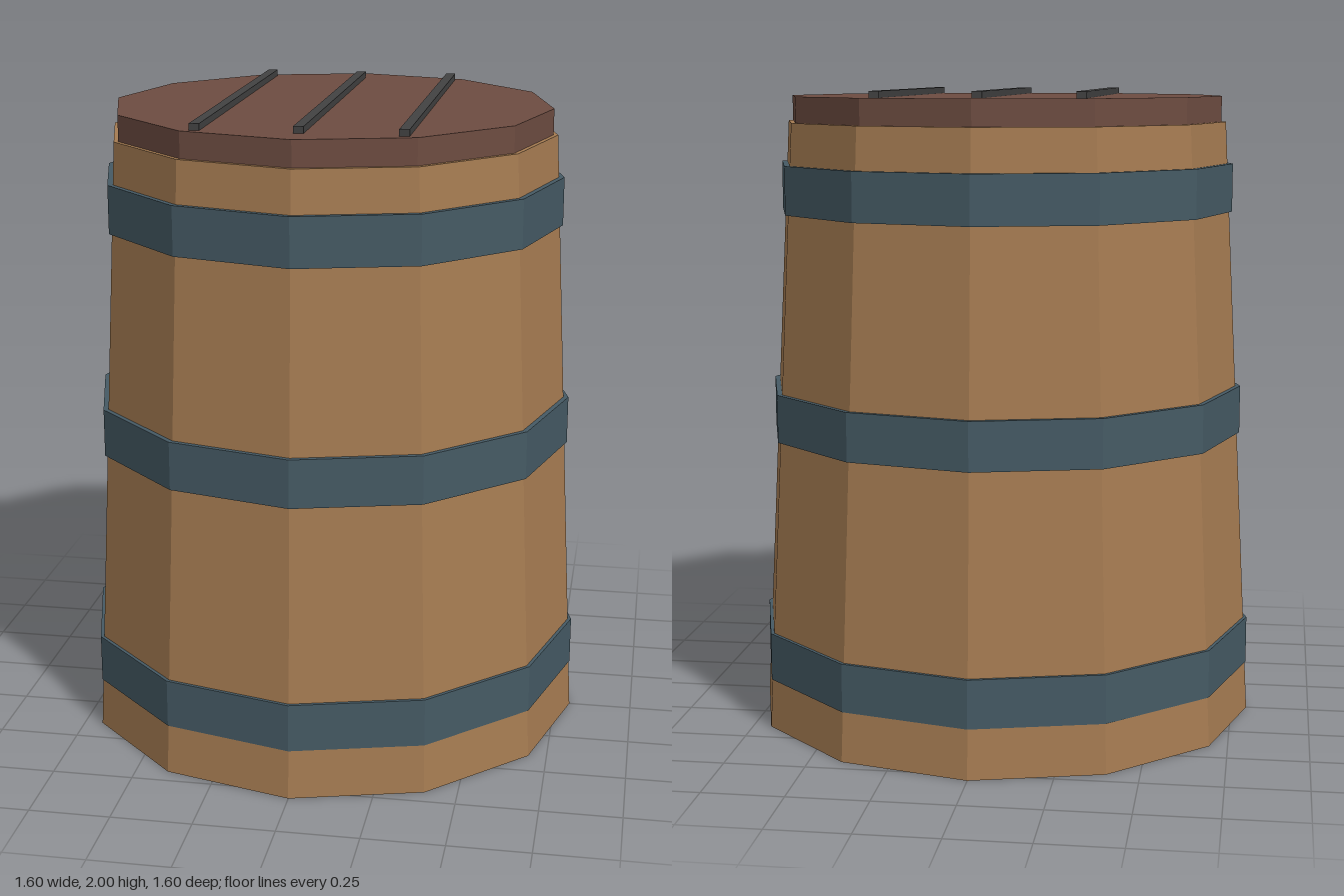
import * as THREE from 'three';

const SIDES = 12;

function material(color) {
  return new THREE.MeshStandardMaterial({ color, flatShading: true });
}

export function createModel() {
  const model = new THREE.Group();
  model.name = 'barrel';
  const wood = material(0xa67c52);
  const metal = material(0x455a64);
  const lidWood = material(0x6d4c41);
  const darkMetal = material(0x424242);

  function add(name, geometry, mat, x, y) {
    const mesh = new THREE.Mesh(geometry, mat);
    mesh.name = name;
    mesh.position.set(x, y, 0);
    model.add(mesh);
  }

  // Twelve-sided ring or disc standing on height y
  function drum(name, topRadius, bottomRadius, y, height, mat) {
    add(name, new THREE.CylinderGeometry(topRadius, bottomRadius, height, SIDES), mat, 0, y + height / 2);
  }

  // Tapered wooden body
  drum('body', 0.7, 0.8, 0, 1.9, wood);

  // Straight metal hoops
  const hoops = [['lowerHoop', 0.795, 0.155], ['middleHoop', 0.76, 0.915], ['upperHoop', 0.724, 1.62]];
  for (const [name, radius, y] of hoops) drum(name, radius, radius, y, 0.15, metal);

  // Lid with three bars running front to back
  drum('lid', 0.686, 0.686, 1.9, 0.08, lidWood);
  for (const x of [-0.303, 0, 0.303]) {
    add('lidBar', new THREE.BoxGeometry(0.03, 0.03, 1.16), darkMetal, x, 1.985);
  }

  return model;
}
